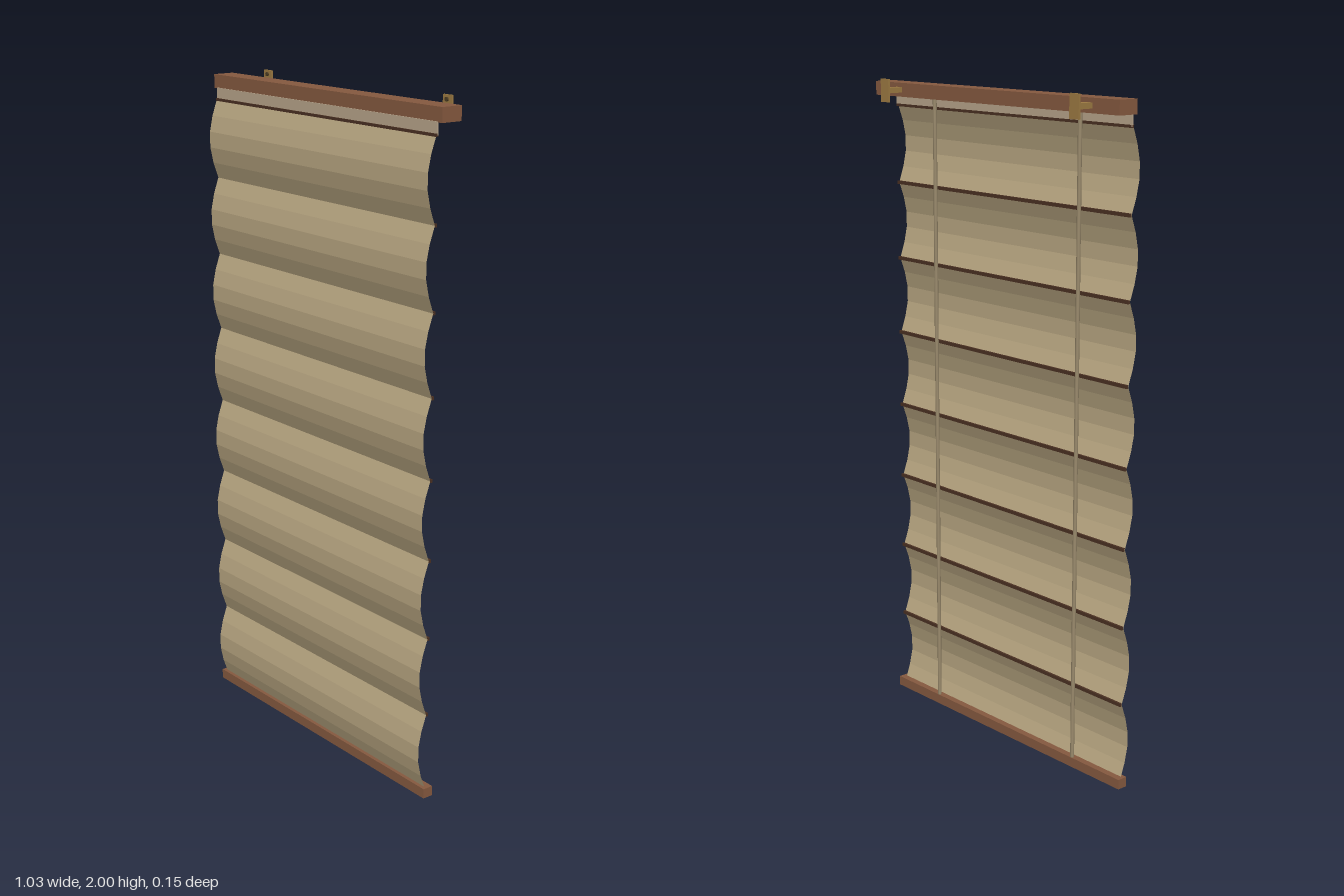
import * as THREE from 'three';

const mat = (name, color, extra = {}) => {
  const m = new THREE.MeshStandardMaterial({ color, ...extra });
  m.name = name;
  return m;
};

export function createModel() {
  const fabric = mat('linen fabric', 0xb8a681, { side: THREE.DoubleSide, flatShading: true });
  const header = mat('header tape', 0xb8a48a);
  const wood = mat('walnut wood', 0x85593f);
  const dark = mat('dark batten', 0x4a3022);
  const cordMat = mat('cord', 0x9a8a6c);
  const brass = mat('aged brass', 0x9c7a42);
  const steel = mat('dark screw', 0x4d3d24);

  const blind = new THREE.Group();
  blind.name = 'romanBlind';

  const add = (name, geo, material, x, y, z, parent = blind) => {
    const mesh = new THREE.Mesh(geo, material);
    mesh.name = name;
    mesh.position.set(x, y, z);
    parent.add(mesh);
    return mesh;
  };
  const box = (name, w, h, d, material, x, y, z, parent) =>
    add(name, new THREE.BoxGeometry(w, h, d), material, x, y, z, parent);

  // Rails
  box('headRail', 1.034, 0.041, 0.067, wood, 0, 1.966, 0.0125);
  box('bottomRail', 1.022, 0.03, 0.032, wood, 0, 0.015, 0.048);

  // Flat header strip under the head rail
  box('headerStrip', 1.0, 0.036, 0.006, header, 0, 1.93, 0.046);

  // Fabric: eight soft folds, each bulging forward between two battens
  const FOLDS = 8, STEPS = 5, TOP = 1.913, BOTTOM = 0.022;
  const pitch = (TOP - BOTTOM) / FOLDS;
  const rows = FOLDS * STEPS;
  const cloth = new THREE.PlaneGeometry(1, 1, 1, rows);
  const pos = cloth.attributes.position;
  for (let i = 0; i < pos.count; i++) {
    const row = Math.floor(i / 2);
    const t = (row % STEPS) / STEPS;
    pos.setY(i, TOP - (row / STEPS) * pitch);
    pos.setZ(i, 0.05 + 0.0285 * Math.sin(Math.PI * t));
  }
  cloth.computeVertexNormals();
  add('foldedFabric', cloth, fabric, 0, 0, 0);

  // Battens along the back of each fold; the top one also shows in front
  box('topBatten', 1.0, 0.008, 0.01, dark, 0, TOP, 0.0475);
  for (let i = 1; i < FOLDS; i++) {
    box('batten', 1.0, 0.01, 0.007, dark, 0, TOP - i * pitch, 0.046);
  }

  // Lift cords and wall brackets on both sides
  for (const s of [-1, 1]) {
    add('liftCord', new THREE.CylinderGeometry(0.006, 0.006, 1.92, 8), cordMat, s * 0.31, 0.985, 0.038);

    const bracket = new THREE.Group();
    bracket.name = 'wallBracket';
    bracket.position.set(s * 0.404, 1.966, 0);
    blind.add(bracket);
    box('wallPlate', 0.036, 0.068, 0.006, brass, 0, 0, -0.074, bracket);
    box('bracketArm', 0.024, 0.016, 0.053, brass, 0, 0, -0.0455, bracket);
    for (const v of [-1, 1]) {
      const screw = add('screwHead', new THREE.CylinderGeometry(0.006, 0.006, 0.006, 10),
        steel, 0, v * 0.022, -0.069, bracket);
      screw.rotation.x = Math.PI / 2;
    }
  }
  return blind;
}
